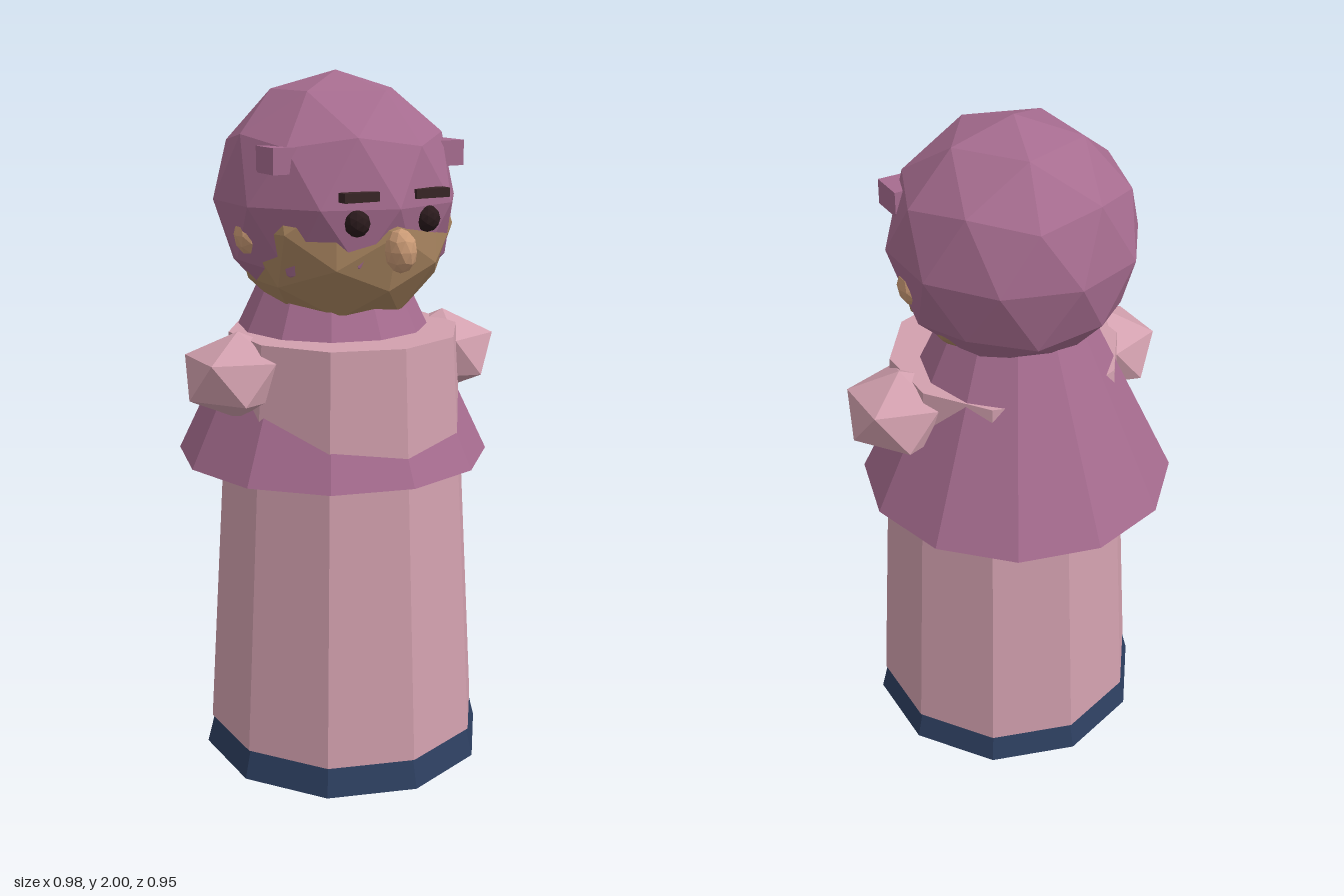
import * as THREE from 'three';

const mat = (name, color) => {
  const m = new THREE.MeshStandardMaterial({ color, flatShading: true });
  m.name = name;
  return m;
};

export function createModel() {
  const model = new THREE.Group();
  model.name = 'hoodedFigure';
  const plum = mat('plum', 0xa66c8f);
  const pink = mat('pink', 0xd2a0ae);
  const skin = mat('skin', 0xa98560);
  const noseTan = mat('noseTan', 0xcb9b76);
  const navy = mat('navy', 0x2d3f60);
  const dark = mat('dark', 0x2a1a1c);
  const brown = mat('brown', 0x382526);

  const add = (name, geometry, material, x, y, z) => {
    const mesh = new THREE.Mesh(geometry, material);
    mesh.name = name;
    mesh.position.set(x, y, z);
    model.add(mesh);
    return mesh;
  };
  const tapered = (top, bottom, y0, y1, sides) =>
    new THREE.CylinderGeometry(top, bottom, y1 - y0, sides).translate(0, (y0 + y1) / 2, 0);
  // Icosphere with optional tilt (to set a corner on top) and stretch
  const TILT = Math.atan(2 / (1 + Math.sqrt(5)));
  const ball = (detail, tilt, sx, sy, sz) =>
    new THREE.IcosahedronGeometry(1, detail).rotateZ(tilt).scale(sx, sy, sz);

  // Robe and cape
  add('hem', tapered(0.402, 0.424, 0, 0.088, 10), navy, 0, 0, 0.05);
  add('robe', tapered(0.335, 0.409, 0.085, 1.28, 10), pink, 0, 0, 0.05);
  add('cape', tapered(0.19, 0.458, 0.9, 1.46, 12), plum, 0, 0, -0.018);

  // Head
  add('hood', ball(1, -TILT, 0.35, 0.35, 0.35), plum, 0, 1.65, 0);
  add('face', ball(1, 0, 0.315, 0.3, 0.3), skin, 0, 1.58, 0.04);
  add('nose', ball(1, -TILT, 0.042, 0.06, 0.05), noseTan, 0, 1.54, 0.352);

  // Paired parts
  for (const [side, s] of [['left', 1], ['right', -1]]) {
    add(side + 'Hand', ball(0, s * TILT, 0.168, 0.125, 0.168), pink, s * 0.34, 1.177, 0.05);
    add(side + 'HoodEar', new THREE.BoxGeometry(0.08, 0.07, 0.1), plum, s * 0.26, 1.775, 0.15);
    add(side + 'Ear', ball(1, 0, 0.05, 0.06, 0.055), noseTan, s * 0.283, 1.565, 0.035);
    add(side + 'Eye', ball(1, 0, 0.035, 0.037, 0.035), dark, s * 0.11, 1.615, 0.31);
    add(side + 'Brow', new THREE.BoxGeometry(0.105, 0.025, 0.035), brown, s * 0.11, 1.685, 0.32);
  }
  return model;
}
